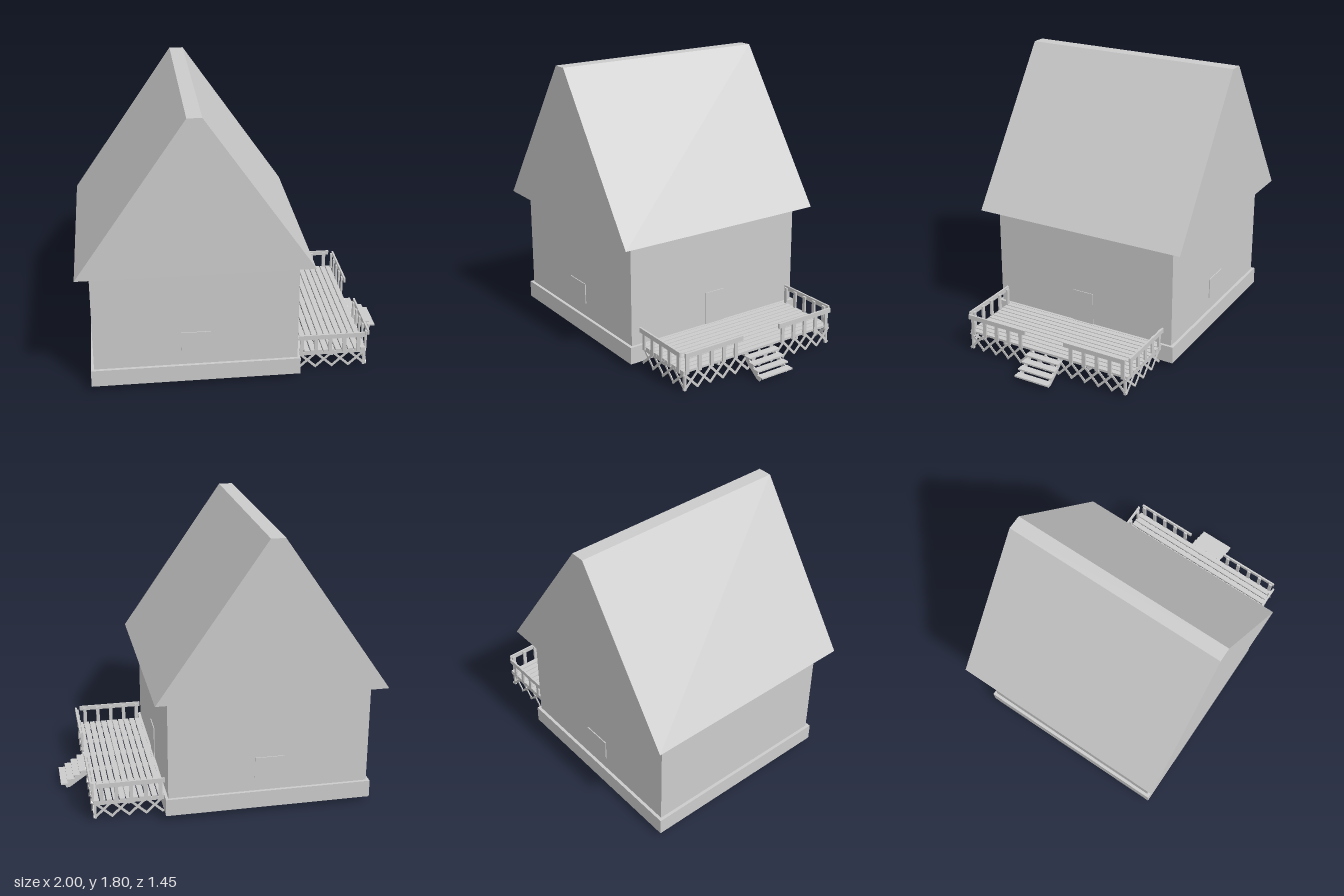
import * as THREE from 'three';

const grey = new THREE.MeshStandardMaterial({ color: 0xcccccc, flatShading: true });

// Box given by its min and max corners
function box(parent, name, x0, x1, y0, y1, z0, z1) {
  const mesh = new THREE.Mesh(new THREE.BoxGeometry(x1 - x0, y1 - y0, z1 - z0), grey);
  mesh.position.set((x0 + x1) / 2, (y0 + y1) / 2, (z0 + z1) / 2);
  mesh.name = name;
  parent.add(mesh);
  return mesh;
}

// Profile in the xy plane, extruded along z and centred
function prism(parent, name, points, depth, z = 0) {
  const shape = new THREE.Shape(points.map(([x, y]) => new THREE.Vector2(x, y)));
  const geo = new THREE.ExtrudeGeometry(shape, { depth, bevelEnabled: false });
  const mesh = new THREE.Mesh(geo, grey);
  mesh.position.z = z - depth / 2;
  mesh.name = name;
  parent.add(mesh);
}

function group(parent, name) {
  const g = new THREE.Group();
  g.name = name;
  parent.add(g);
  return g;
}

// Railing along local x, starting at the origin; outer face on +z
function railing(parent, name, length, first, pitch) {
  const g = group(parent, name);
  box(g, 'handrail', 0, length, 0.235, 0.266, 0, 0.012);
  for (let i = 0; i < 5; i++) {
    const x = first + i * pitch;
    box(g, 'baluster', x - 0.012, x + 0.012, 0.122, 0.255, -0.012, 0);
  }
  return g;
}

// Row of crossed slats along local x
function lattice(parent, name, length, count) {
  const g = group(parent, name);
  const pitch = length / count, height = 0.1;
  for (let i = 0; i < count; i++) {
    for (const s of [-1, 1]) {
      const slat = new THREE.Mesh(
        new THREE.BoxGeometry(Math.hypot(pitch, height) + 0.01, 0.015, 0.005), grey);
      slat.position.set((i + 0.5) * pitch, 0.075, s * 0.0025);
      slat.rotation.z = s * Math.atan2(height, pitch);
      slat.name = 'latticeSlat';
      g.add(slat);
    }
  }
  return g;
}

export function createModel() {
  const model = new THREE.Group();
  model.name = 'houseWithDeck';

  // House body
  const house = group(model, 'house');
  box(house, 'foundation', -0.935, 0.385, 0.035, 0.147, -0.66, 0.66);
  box(house, 'walls', -0.915, 0.367, 0.147, 0.815, -0.64, 0.64);
  prism(house, 'roof', [[-1, 0.815], [0.452, 0.815], [-0.23, 1.802], [-0.32, 1.802]], 1.452);
  for (const s of [-1, 1]) {
    box(house, 'window', -0.37, -0.182, 0.237, 0.375, s * 0.642 - 0.004, s * 0.642 + 0.004);
  }
  box(house, 'door', 0.36, 0.372, 0.147, 0.364, -0.073, 0.075);

  // Deck floor and its supports
  const deck = group(model, 'deck');
  const boards = 11, pitch = 0.0405;
  for (let i = 0; i < boards; i++) {
    const x = 0.385 + i * pitch;
    box(deck, 'floorBoard', x, x + 0.034, 0.13, 0.145, -0.58, 0.575);
  }
  for (const z of [-0.57, -0.31, -0.105, 0.105, 0.31, 0.565]) {
    box(deck, 'joist', 0.385, 0.825, 0.112, 0.13, z - 0.009, z + 0.009);
  }
  box(deck, 'crossBeam', 0.592, 0.612, 0.1, 0.125, -0.57, 0.57);
  for (const z of [-0.3, 0, 0.3]) {
    box(deck, 'supportPost', 0.585, 0.62, 0.01, 0.13, z - 0.018, z + 0.018);
  }
  for (const s of [-1, 1]) {
    box(deck, 'cornerPost', 0.808, 0.826, 0.015, 0.13, s * 0.562 - 0.007, s * 0.562 + 0.007);
  }

  // Railings: both ends, and either side of the stairs
  const endZ = 0.58;
  for (const s of [-1, 1]) {
    const end = railing(deck, 'endRailing', 0.43, 0.026, 0.092);
    end.position.set(0.38, 0, s * endZ);
    end.scale.z = s;
    const front = railing(deck, 'frontRailing', 0.43, 0.022, 0.091);
    front.rotation.y = Math.PI / 2;
    front.position.set(0.832, 0, s > 0 ? 0.571 : -0.142);
    if (s < 0) front.children.slice(1).forEach((b) => { b.position.x = 0.43 - b.position.x; });
  }

  // Lattice skirt
  for (const s of [-1, 1]) lattice(deck, 'endLattice', 0.43, 4).position.set(0.39, 0, s * 0.57);
  const skirt = lattice(deck, 'frontLattice', 1.14, 12);
  skirt.rotation.y = Math.PI / 2;
  skirt.position.set(0.828, 0, 0.57);

  // Stairs
  const stairs = group(model, 'stairs');
  for (let i = 0; i < 4; i++) {
    const x = 0.828 + i * 0.041, y = 0.121 - i * 0.0275;
    box(stairs, 'tread', x, x + 0.049, y - 0.01, y, -0.122, 0.118);
  }
  for (const z of [-0.105, 0.105]) {
    prism(stairs, 'stringer',
      [[0.825, 0.085], [0.94, 0.004], [0.965, 0], [0.975, 0.028], [0.84, 0.115], [0.825, 0.115]], 0.008, z);
  }
  return model;
}
